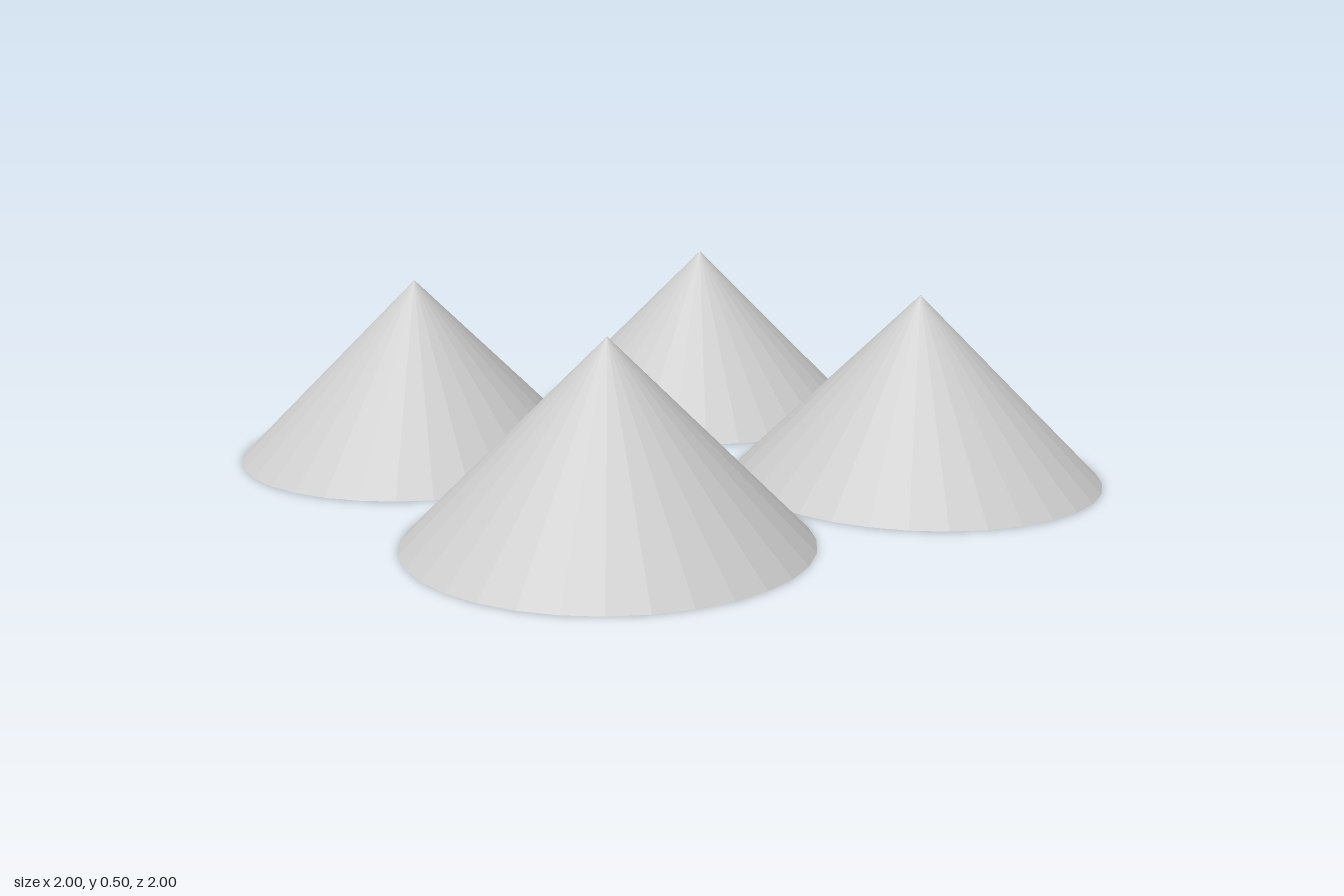
import * as THREE from 'three';

export function createModel() {
  const model = new THREE.Group();
  model.name = 'fourCones';

  const radius = 0.5, height = 0.5;
  const material = new THREE.MeshStandardMaterial({ color: 0xcccccc, flatShading: true });

  // Closed, faceted cone standing on the ground
  const geometry = new THREE.ConeGeometry(radius, height, 32);
  geometry.translate(0, height / 2, 0);

  // Two by two grid of cones whose rims touch
  for (const [depth, z] of [['front', radius], ['back', -radius]]) {
    for (const [side, x] of [['Left', radius], ['Right', -radius]]) {
      const cone = new THREE.Mesh(geometry, material);
      cone.name = `${depth}${side}Cone`;
      cone.position.set(x, 0, z);
      model.add(cone);
    }
  }
  return model;
}
